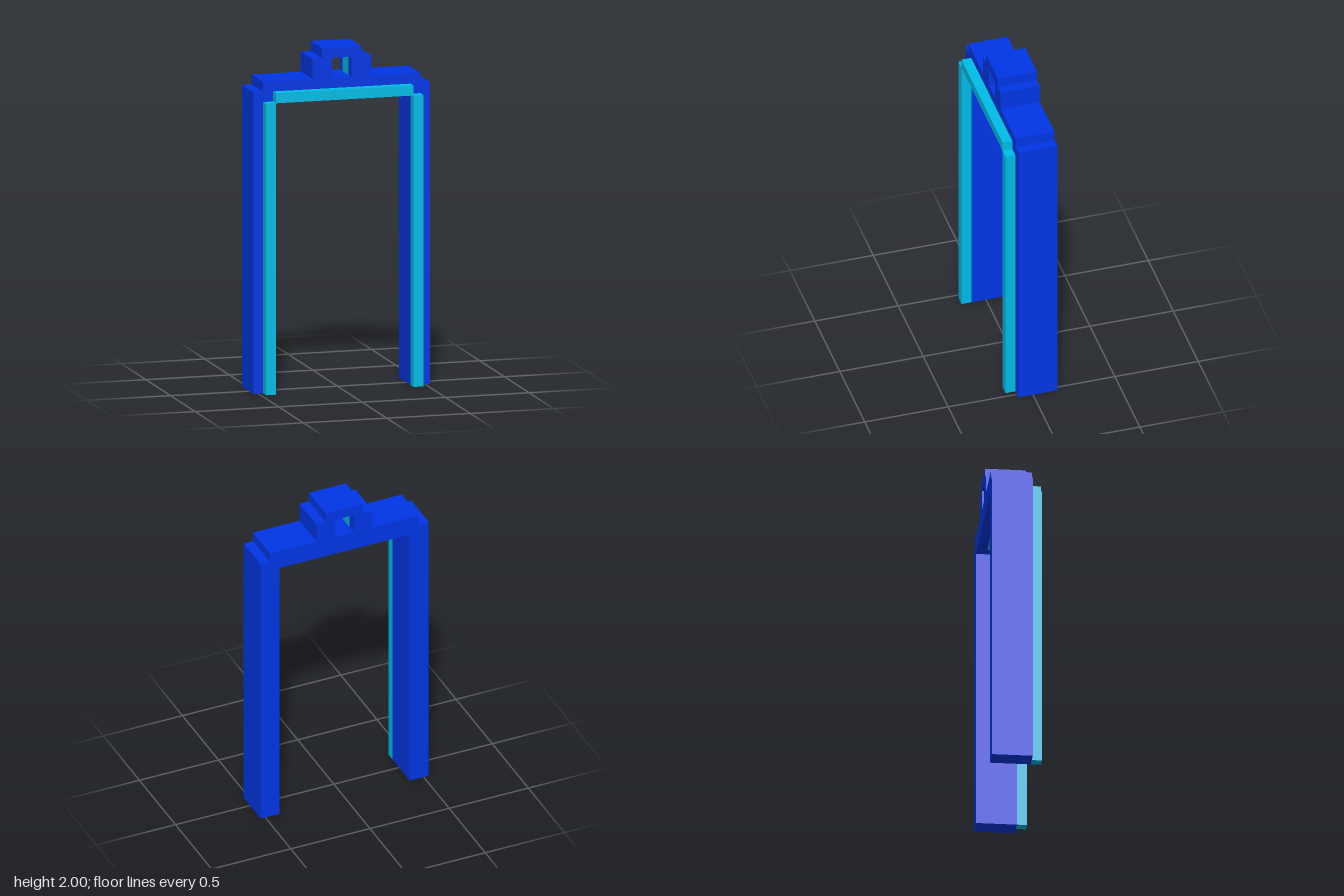
import * as THREE from 'three';

const U = 2 / 34; // one step of the blocky grid

export function createModel() {
  const blue = new THREE.MeshStandardMaterial({ color: 0x0036e6 });
  blue.name = 'royal blue';
  const cyan = new THREE.MeshStandardMaterial({ color: 0x00bfea });
  cyan.name = 'cyan';

  const group = new THREE.Group();
  group.name = 'archway';

  // Box from grid-unit minimum and maximum corners
  const block = (name, material, min, max) => {
    const size = max.map((v, i) => (v - min[i]) * U);
    const mesh = new THREE.Mesh(new THREE.BoxGeometry(...size), material);
    mesh.position.set(...max.map((v, i) => ((v + min[i]) / 2) * U));
    mesh.name = name;
    group.add(mesh);
  };

  // Stepped frame: half outline on the +x side, mirrored for the other half
  const half = [[7, 29], [7, 0], [9, 0], [9, 30], [8, 30], [8, 31], [3, 31], [3, 33], [2, 33], [2, 34]];
  const outline = [...half, ...half.map(([x, y]) => [-x, y]).reverse()];
  const toVec = ([x, y]) => new THREE.Vector2(x * U, y * U);
  const shape = new THREE.Shape(outline.map(toVec));
  shape.holes.push(new THREE.Path([[-1, 31], [-1, 33], [1, 33], [1, 31]].map(toVec)));
  const frame = new THREE.Mesh(
    new THREE.ExtrudeGeometry(shape, { depth: 4 * U, bevelEnabled: false }), blue);
  frame.position.z = -2.5 * U;
  frame.name = 'frame';
  group.add(frame);

  // Raised trim on the front
  block('lintelTrim', cyan, [-7, 29, 1.5], [7, 30, 2.5]);
  for (const s of [-1, 1]) {
    block(s > 0 ? 'leftPostTrim' : 'rightPostTrim', cyan,
      [s * 7.5 - 0.5, 0, 1.5], [s * 7.5 + 0.5, 29, 2.5]);
  }

  // Thin inlays under the lintel and on the side walls of the top opening
  const t = 0.02;
  block('lintelInlay', cyan, [-6, 29 - t, -1.5], [6, 29, 1.5]);
  for (const s of [-1, 1]) {
    const x = s * (1 - t / 2);
    block(s > 0 ? 'leftOpeningInlay' : 'rightOpeningInlay', cyan,
      [x - t / 2, 31, -1.5], [x + t / 2, 33, 0.5]);
  }

  return group;
}
